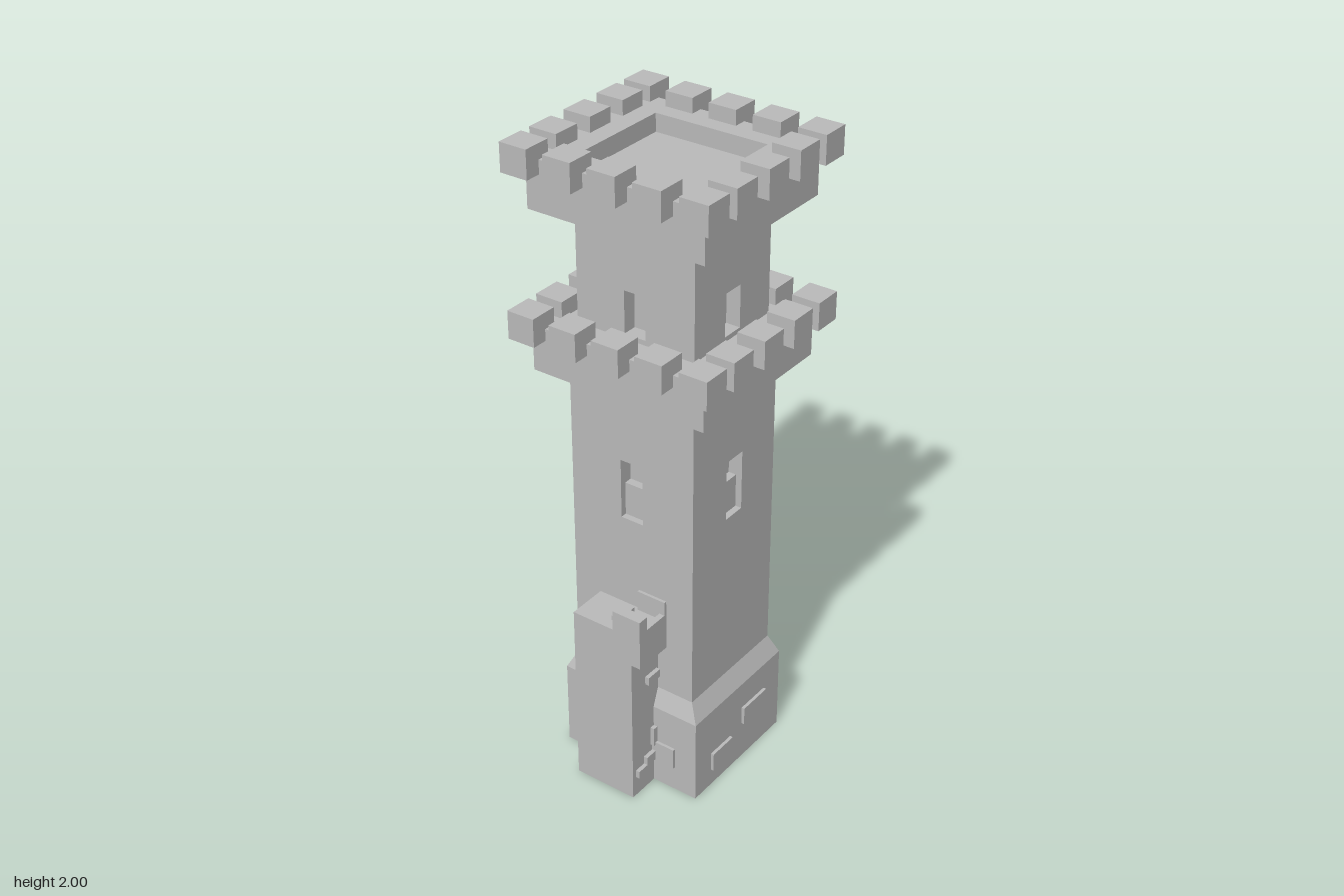
import * as THREE from 'three';

const stone = new THREE.MeshStandardMaterial({ color: 0xbababa });
stone.name = 'grey stone';

export function createModel() {
  const root = new THREE.Group();
  root.name = 'castleTower';

  const add = (parent, name, geo) => {
    const m = new THREE.Mesh(geo, stone);
    m.name = name;
    parent.add(m);
    return m;
  };
  // Box given by its limits on each axis
  const box = (parent, name, x0, x1, y0, y1, z0, z1) => {
    const m = add(parent, name, new THREE.BoxGeometry(x1 - x0, y1 - y0, z1 - z0));
    m.position.set((x0 + x1) / 2, (y0 + y1) / 2, (z0 + z1) / 2);
    return m;
  };
  const rect = (T, x0, x1, y0, y1) => new T([[x0, y0], [x1, y0], [x1, y1], [x0, y1]]
    .map(([x, y]) => new THREE.Vector2(x, y)));
  // Rectangular plate with a rectangular hole
  const holed = (outer, hole, depth) => {
    const s = rect(THREE.Shape, ...outer);
    s.holes.push(rect(THREE.Path, ...hole));
    return new THREE.ExtrudeGeometry(s, { depth, bevelEnabled: false });
  };

  // Square shaft: solid core plus four walls, each pierced by a window niche
  const shaft = (name, hx, hz, y0, y1, win, sillTop) => {
    const g = new THREE.Group();
    g.name = name;
    root.add(g);
    const t = 0.045;
    box(g, 'core', -hx + t, hx - t, y0, y1, -hz + t, hz - t);
    for (let i = 0; i < 4; i++) {
      const side = new THREE.Group();
      side.name = 'wall' + i;
      side.rotation.y = i * Math.PI / 2;
      g.add(side);
      const half = i % 2 ? hz - t : hx, out = i % 2 ? hx : hz;
      add(side, 'wallWithWindow', holed([-half, half, y0, y1], win, t)).position.z = out - t;
      if (sillTop) box(side, 'windowInset', win[0], win[1], win[2], sillTop, out - t, out - 0.02);
    }
  };
  shaft('mainShaft', 0.198, 0.21, 0.3, 1.33, [-0.038, 0.038, 0.895, 1.085], 1.0);
  shaft('upperShaft', 0.175, 0.195, 1.44, 1.82, [-0.035, 0.035, 1.475, 1.605]);

  // Wider foot with a sloping shoulder
  box(root, 'foot', -0.22, 0.22, 0, 0.28, -0.24, 0.24);
  const slope = new THREE.BoxGeometry(0.44, 0.06, 0.48);
  const p = slope.attributes.position;
  for (let i = 0; i < p.count; i++) {
    if (p.getY(i) > 0) {
      p.setX(i, Math.sign(p.getX(i)) * 0.198);
      p.setZ(i, Math.sign(p.getZ(i)) * 0.21);
    }
  }
  const shoulder = slope.toNonIndexed();
  shoulder.computeVertexNormals();
  add(root, 'footShoulder', shoulder).position.y = 0.31;

  // Overhanging platforms
  box(root, 'lowerPlatform', -0.26, 0.26, 1.32, 1.46, -0.285, 0.285);
  const rim = add(root, 'topPlatformRim',
    holed([-0.26, 0.26, -0.285, 0.285], [-0.168, 0.168, -0.182, 0.182], 0.15));
  rim.rotation.x = -Math.PI / 2;
  rim.position.y = 1.805;
  box(root, 'roofFloor', -0.17, 0.17, 1.805, 1.9, -0.184, 0.184);

  // Ring of merlons around each platform
  const xs = [-0.265, -0.1425, 0, 0.1425, 0.265];
  const zs = [-0.285, -0.1425, 0, 0.1425, 0.285];
  for (const y of [1.467, 1.957]) {
    xs.forEach((x, i) => zs.forEach((z, j) => {
      if (i % 4 && j % 4) return;
      box(root, 'merlon', x - 0.0445, x + 0.0445, y - 0.043, y + 0.043, z - 0.0445, z + 0.0445);
    }));
  }

  // Side turrets, mirrored left and right
  for (const s of [1, -1]) {
    const g = new THREE.Group();
    g.name = s > 0 ? 'leftTurret' : 'rightTurret';
    root.add(g);
    const part = (name, x0, x1, ...r) =>
      box(g, name, Math.min(s * x0, s * x1), Math.max(s * x0, s * x1), ...r);
    part('turretBody', 0.15, 0.325, 0, 0.6, -0.12, 0.087);
    part('turretCap', 0.15, 0.325, 0.5, 0.6, 0.02, 0.118);
    part('capFrontWall', 0.19, 0.3, 0.6, 0.62, 0.1, 0.118);
    part('capOuterMerlon', 0.29, 0.325, 0.6, 0.665, 0.022, 0.118);
    part('capInnerMerlon', 0.19, 0.207, 0.6, 0.665, 0.022, 0.118);
    part('capPeg', 0.22, 0.29, 0.6, 0.615, -0.01, 0.02);
    // Raised stones beside the turret
    part('footStone', 0.21, 0.229, 0.085, 0.155, 0.085, 0.165);
    part('backStone', 0.21, 0.235, 0.07, 0.13, -0.147, -0.11);
  }

  // Raised stones on the foot, front and back
  for (const s of [1, -1]) {
    const g = new THREE.Group();
    g.name = s > 0 ? 'frontStones' : 'backStones';
    g.rotation.y = s > 0 ? 0 : Math.PI;
    root.add(g);
    box(g, 'upperStone', 0.02, 0.138, 0.13, 0.19, 0.23, 0.25);
    box(g, 'lowerStone', -0.14, -0.04, 0.058, 0.12, 0.23, 0.25);
  }

  // Small stones on the turret fronts
  [[0.235, 0.29, 0.132, 0.165], [0.215, 0.265, 0.07, 0.11], [0.2, 0.225, 0.41, 0.44],
    [-0.26, -0.205, 0.39, 0.417], [-0.31, -0.255, 0.07, 0.095], [-0.27, -0.215, 0.09, 0.122],
    [-0.236, -0.215, 0.145, 0.21]]
    .forEach((r) => box(root, 'turretStone', ...r, 0.08, 0.1));

  return root;
}
